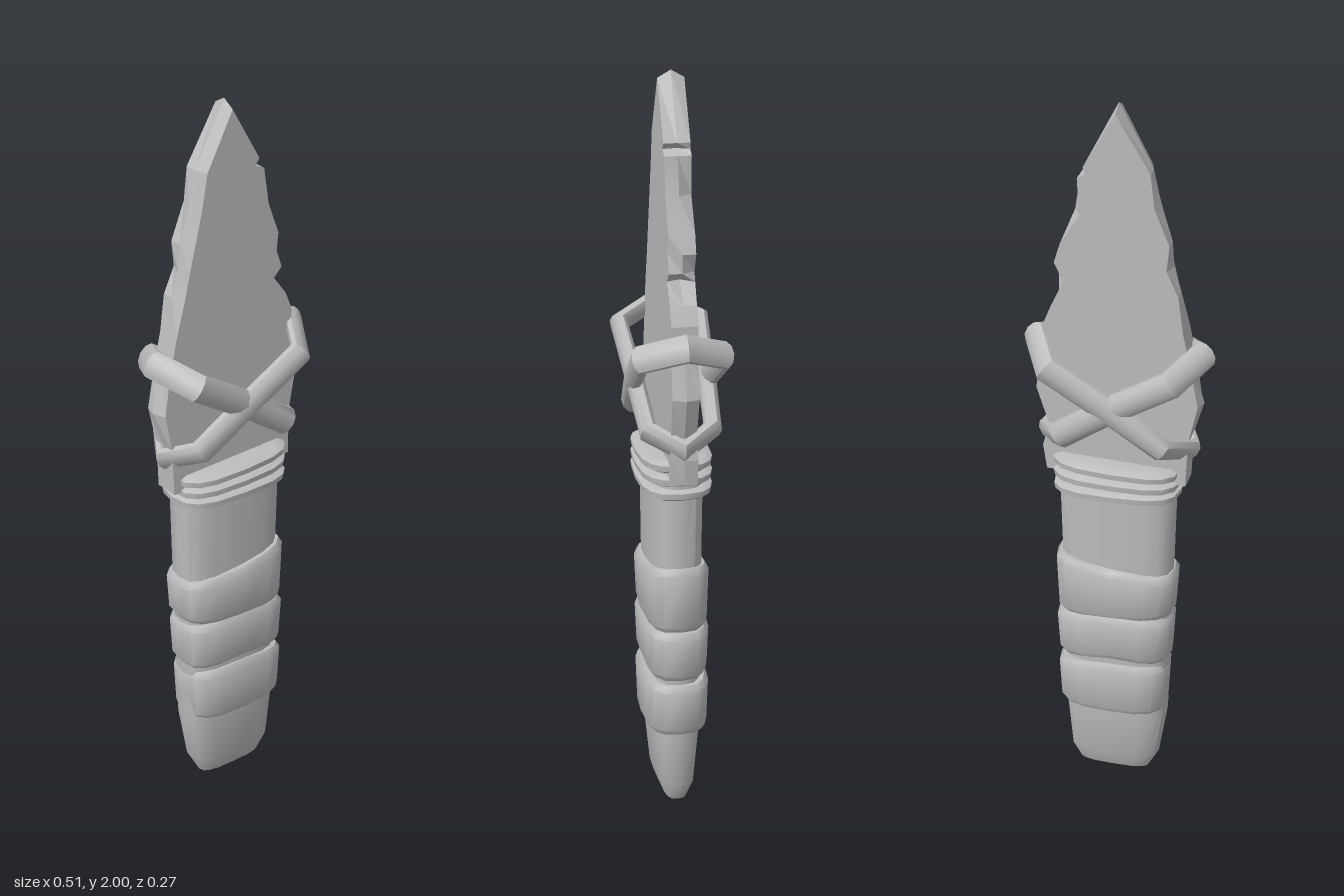
import * as THREE from 'three';
import { toCreasedNormals } from 'three/addons/utils/BufferGeometryUtils.js';

const V = (x, y, z) => new THREE.Vector3(x, y, z);

// Skins a stack of cross-sections; flat(p) gives the 2D view used to fill the end caps,
// and without it the stack is closed into a loop.
function loft(rings, crease, flat) {
  const n = rings[0].length, m = rings.length, index = [];
  for (let i = 0; i < (flat ? m - 1 : m); i++) {
    const a = i * n, b = ((i + 1) % m) * n;
    for (let j = 0; j < n; j++) {
      const k = (j + 1) % n;
      index.push(a + j, a + k, b + k, a + j, b + k, b + j);
    }
  }
  if (flat) {
    const cap = (ring) => THREE.ShapeUtils.triangulateShape(ring.map(flat), []);
    const top = (m - 1) * n;
    cap(rings[0]).forEach(([p, q, r]) => index.push(r, q, p));
    cap(rings[m - 1]).forEach(([p, q, r]) => index.push(top + p, top + q, top + r));
  }
  const geometry = new THREE.BufferGeometry().setFromPoints(rings.flat());
  geometry.setIndex(index);
  return toCreasedNormals(geometry, crease);
}

// Flattened rounded section, with an optional sideways tilt and a raised middle
function section(y, cx, rx, rz, tilt = 0, bow = 0) {
  const soft = (v) => Math.sign(v) * Math.pow(Math.abs(v), 0.65);
  return Array.from({ length: 16 }, (_, i) => {
    const t = (i / 16) * Math.PI * 2;
    const c = soft(Math.cos(t)), s = soft(Math.sin(t));
    return V(cx + rx * c, y + tilt * c + bow * (1 - Math.abs(c)), -rz * s);
  });
}
const fromTop = (p) => new THREE.Vector2(p.x, -p.z);
const fromFront = (p) => new THREE.Vector2(p.x, p.y);

export function createModel() {
  const group = new THREE.Group();
  const grey = new THREE.MeshStandardMaterial({ color: 0xbcbcbc });
  grey.name = 'stone grey';
  const add = (name, geometry) => {
    const mesh = new THREE.Mesh(geometry, grey);
    mesh.name = name;
    group.add(mesh);
  };

  // Chipped blade: x, y of the edge, then how far the front and back faces are set in
  const edge = [
    [0.19, 0.95, 0, 0], [0.2, 1.02, 0.01, 0], [0.19, 1.08, 0, 0.01], [0.225, 1.19, 0.015, 0.01],
    [0.195, 1.3, 0, 0], [0.195, 1.38, 0, 0], [0.175, 1.43, 0, 0], [0.12, 1.485, -0.015, -0.03],
    [0.16, 1.51, 0, 0.02], [0.163, 1.56, 0.02, 0], [0.148, 1.61, 0, 0], [0.115, 1.7, 0, 0.02],
    [0.1, 1.8, 0, 0], [0.065, 1.813, -0.005, -0.015], [0.085, 1.83, 0, 0], [0, 2, 0, 0],
    [-0.09, 1.83, 0.012, 0], [-0.11, 1.74, 0.016, 0.01], [-0.14, 1.64, 0.022, 0],
    [-0.145, 1.57, 0.01, 0.012], [-0.165, 1.5, 0.014, 0], [-0.178, 1.4, 0, 0],
    [-0.2, 1.3, 0, 0], [-0.23, 1.19, 0.015, 0.01], [-0.195, 1.08, 0, 0], [-0.19, 0.95, 0, 0],
  ];
  const face = (z, column) => edge.map((e) => {
    const inset = column ? e[column] : 0;
    const y = e[1] === 2 && column ? 1.98 : e[1];
    return V(e[0] - Math.sign(e[0]) * inset, y, z);
  });
  add('blade', loft([face(-0.035, 3), face(0, 0), face(0.035, 2)], 0.25, fromFront));

  // Handle with a tapered butt
  add('handle', loft([
    section(0, 0.01, 0.1, 0.032),
    section(0.05, 0.008, 0.125, 0.052),
    section(0.2, 0.002, 0.143, 0.066),
    section(0.6, 0, 0.152, 0.07),
    section(0.99, 0, 0.162, 0.074),
  ], 0.7, fromTop));

  // Wide grip wraps: bottom, top, centre, half width, tilt and bow of each lower edge
  const wraps = [
    [0.215, 0.365, 0.01, 0.15, 0, 0],
    [0.38, 0.52, 0.006, 0.158, -0.004, 0.015],
    [0.527, 0.685, 0.002, 0.163, -0.009, -0.003],
  ];
  wraps.forEach(([low, high, cx, rx, tilt, bow], i) => {
    const upper = i === 2 ? [0.018, -0.008] : [-0.005, 0.012];
    add('gripWrap' + (i + 1), loft([
      section(low, cx, rx - 0.01, 0.078, tilt, bow),
      section(low + 0.015, cx, rx, 0.086, tilt, bow),
      section(high - 0.018, cx, rx + 0.006, 0.09, ...upper),
      section(high, cx, rx - 0.004, 0.08, ...upper),
    ], 0.7, fromTop));
  });

  // Thin cord rings at the collar
  [0.915, 0.95, 0.985].forEach((y, i) => {
    const tilt = [-0.003, 0.002, 0.005][i];
    const levels = [[-0.017, 0.158, 0.08], [-0.009, 0.172, 0.096], [0.007, 0.174, 0.098], [0.016, 0.158, 0.08]];
    add('cordRing' + (i + 1),
      loft(levels.map(([dy, rx, rz]) => section(y + dy, 0, rx, rz, tilt)), 0.8, fromTop));
  });

  // Two crossed lashings: slanted closed loops with an oval section
  for (const side of [1, -1]) {
    const mid = side > 0 ? 0.1 : 0.096;
    const path = [
      V(0.227, 1.332, 0), V(0.165, 1.29, -0.11), V(0, 1.185, -mid), V(-0.14, 1.085, -0.085),
      V(-0.192, 1.045, 0), V(-0.14, 1.085, 0.085), V(0, 1.185, mid), V(0.165, 1.29, 0.11),
    ];
    path.forEach((p) => { p.x *= side; });
    if (side < 0) path.reverse();
    const normal = V(-0.57 * side, 0.82, 0).normalize();
    const rings = path.map((p, i) => {
      const along = path[(i + 1) % 8].clone().sub(path[(i + 7) % 8]).normalize();
      const out = along.cross(normal).normalize();
      return Array.from({ length: 10 }, (_, j) => {
        const t = (j / 10) * Math.PI * 2;
        return p.clone().addScaledVector(out, 0.025 * Math.cos(t))
          .addScaledVector(normal, -0.038 * Math.sin(t));
      });
    });
    add(side > 0 ? 'leftLashing' : 'rightLashing', loft(rings, 0.75));
  }
  return group;
}
